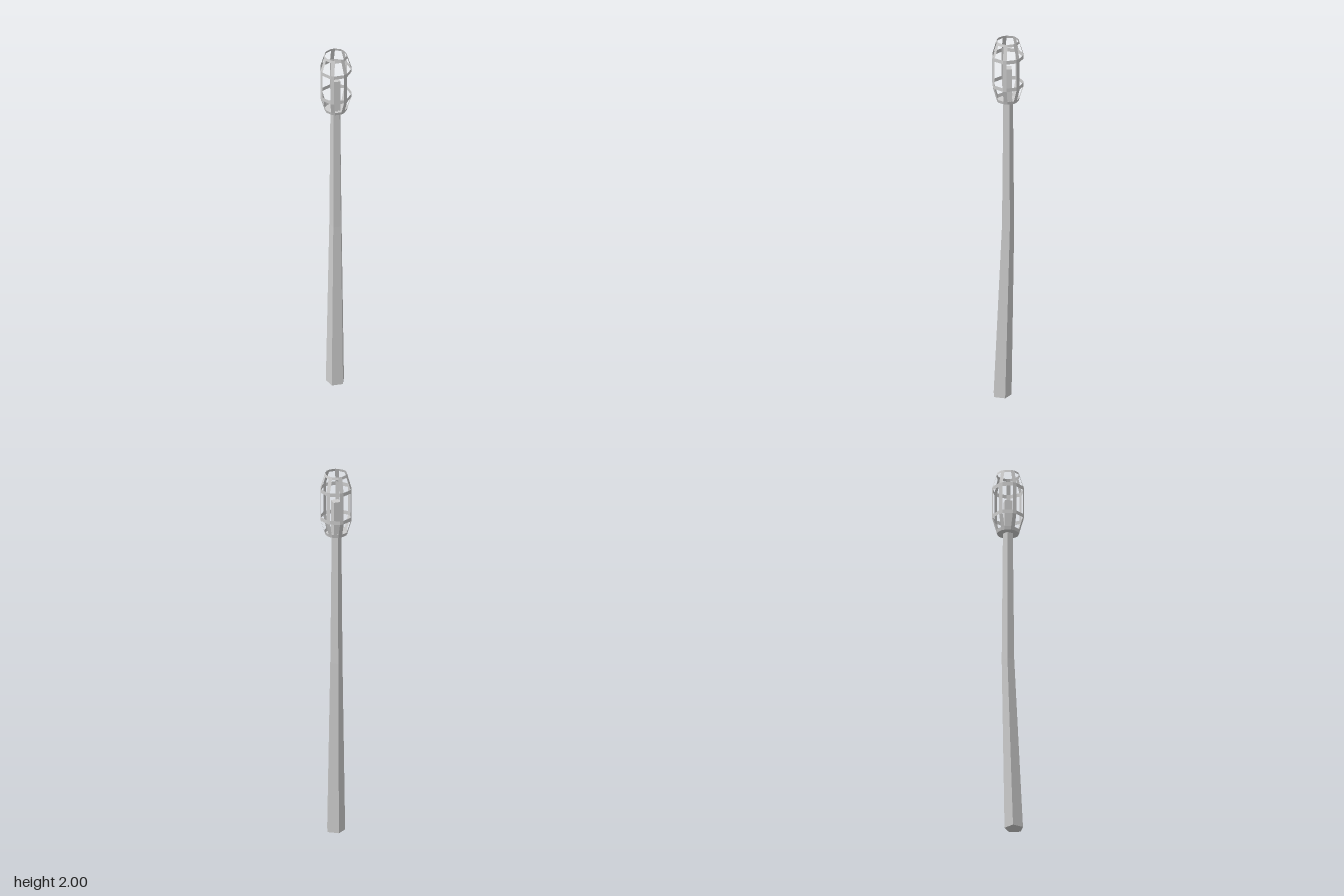
import * as THREE from 'three';

const material = new THREE.MeshStandardMaterial({ color: 0xcccccc, flatShading: true, side: THREE.DoubleSide });

// Collects quads and triangles into one flat-shaded mesh
function meshFrom(name, faces) {
  const pos = [];
  for (const f of faces)
    for (let i = 1; i < f.length - 1; i++)
      for (const p of [f[0], f[i], f[i + 1]]) pos.push(...p);
  const geo = new THREE.BufferGeometry();
  geo.setAttribute('position', new THREE.Float32BufferAttribute(pos, 3));
  geo.computeVertexNormals();
  const mesh = new THREE.Mesh(geo, material);
  mesh.name = name;
  return mesh;
}

// Quad number i between two cross-sections
function quad(low, up, i) {
  const j = (i + 1) % low.length;
  return [low[i], low[j], up[j], up[i]];
}

// Five-sided pole, tapered and bent at mid height
function createPole() {
  const section = ([y, r, cx, cz]) => Array.from({ length: 5 }, (_, k) => {
    const a = Math.PI / 5 + k * Math.PI * 2 / 5;
    return [cx + r * Math.sin(a), y, cz + r * Math.cos(a)];
  });
  const s = [[0, 0.05, -0.0075, 0.03], [0.95, 0.034, 0.001, 0.001], [1.665, 0.027, 0, 0]].map(section);
  const faces = [[...s[0]].reverse(), s[2]];
  for (let k = 0; k < 2; k++)
    for (let i = 0; i < 5; i++) faces.push(quad(s[k], s[k + 1], i));
  return meshFrom('pole', faces);
}

// Cage section: seven struts of constant width, so fourteen corners
function cageSection(y, r) {
  const half = Math.asin(0.01 / r);
  const pts = [];
  for (let k = 0; k < 7; k++)
    for (const side of [-1, 1]) {
      const a = Math.PI + k * Math.PI * 2 / 7 + side * half;
      pts.push([r * Math.sin(a), y, r * Math.cos(a)]);
    }
  return pts;
}

function createCage() {
  const cage = new THREE.Group();
  cage.name = 'cage';
  // Height, radius, and whether a ring runs from here to the next section
  const profile = [
    [1.663, 0.057, true], [1.68, 0.0615, false], [1.745, 0.081, true], [1.765, 0.081, false],
    [1.9, 0.081, true], [1.92, 0.081, false], [1.986, 0.061, true], [2, 0.057, false],
  ];
  const s = profile.map(([y, r]) => cageSection(y, r));
  const struts = [], rings = [];
  for (let k = 0; k < s.length - 1; k++)
    for (let i = 0; i < 14; i += 2) {
      struts.push(quad(s[k], s[k + 1], i));
      if (profile[k][2]) rings.push(quad(s[k], s[k + 1], i + 1));
    }
  cage.add(meshFrom('struts', struts), meshFrom('rings', rings));
  // Floor plate
  cage.add(meshFrom('floor', [[...s[0]].reverse()]));
  return cage;
}

export function createModel() {
  const model = new THREE.Group();
  model.name = 'cagedLampPost';
  model.add(createPole(), createCage());

  // Square lamp core standing on the floor plate
  const core = new THREE.Mesh(new THREE.BoxGeometry(0.04, 0.182, 0.04), material);
  core.position.y = 1.754;
  core.name = 'lampCore';
  model.add(core);
  return model;
}
